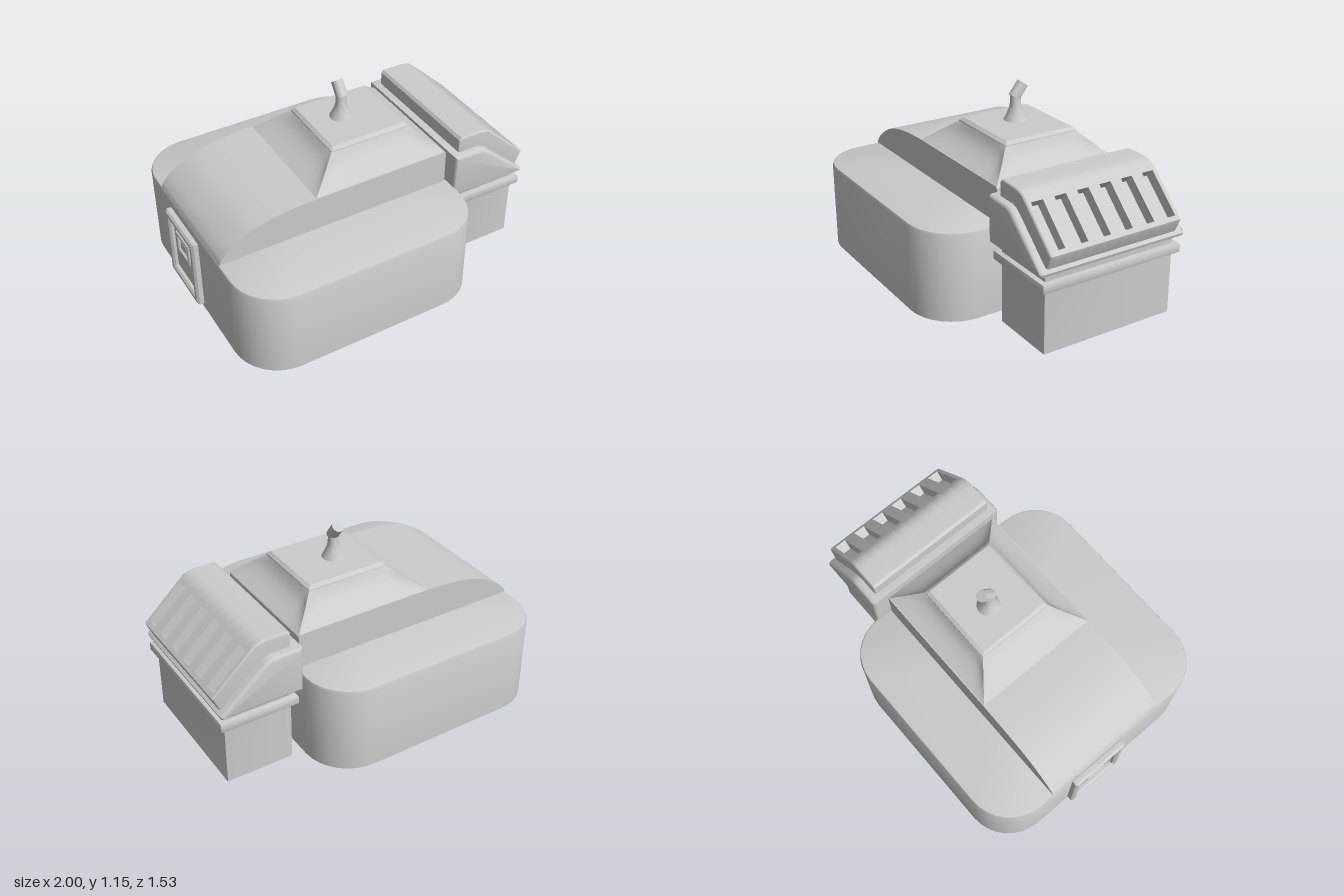
import * as THREE from 'three';
import { toCreasedNormals } from 'three/addons/utils/BufferGeometryUtils.js';

const grey = new THREE.MeshStandardMaterial({ color: 0xcccccc, side: THREE.DoubleSide });

function add(parent, name, geometry, crease = 0.6) {
  const mesh = new THREE.Mesh(toCreasedNormals(geometry, crease), grey);
  mesh.name = name;
  parent.add(mesh);
  return mesh;
}

const shapeOf = (pts) => new THREE.Shape(pts.map(([x, y]) => new THREE.Vector2(x, y)));

const rect = (x0, x1, y0, y1) => [[x0, y0], [x1, y0], [x1, y1], [x0, y1]];

// Side profile (x, y) extruded from z0 to z1, edges rounded by b inside the outline
function extrude(shape, z0, z1, b = 0, bevelSegments = 3) {
  const g = new THREE.ExtrudeGeometry(shape, {
    depth: z1 - z0 - 2 * b, bevelEnabled: b > 0, bevelSize: b,
    bevelThickness: b, bevelOffset: -b, bevelSegments,
  });
  return g.translate(0, 0, z0 + b);
}

// Skin through closed rings of equal length, from bottom to top
function loft(rings, cap = true) {
  const n = rings[0].length, v = [], idx = [];
  rings.forEach((r) => r.forEach((p) => v.push(...p)));
  for (let i = 0; i < rings.length - 1; i++) {
    for (let j = 0; j < n; j++) {
      const a = i * n + j, b = i * n + (j + 1) % n;
      idx.push(a, b, b + n, a, b + n, a + n);
    }
  }
  if (cap) {
    const top = rings[rings.length - 1], base = (rings.length - 1) * n;
    v.push(...[0, 1, 2].map((k) => top.reduce((s, p) => s + p[k], 0) / n));
    for (let j = 0; j < n; j++) idx.push(base + j, base + (j + 1) % n, rings.length * n);
  }
  const g = new THREE.BufferGeometry();
  g.setAttribute('position', new THREE.Float32BufferAttribute(v, 3));
  g.setIndex(idx);
  return g;
}

// Horizontal rounded rectangle, counter-clockwise from above
function roundRing(x0, x1, z0, z1, y, r, steps = 8) {
  const pts = [];
  [[x1 - r, z0 + r], [x0 + r, z0 + r], [x0 + r, z1 - r], [x1 - r, z1 - r]].forEach(([cx, cz], q) => {
    for (let i = 0; i <= steps; i++) {
      const a = (q + i / steps) * Math.PI / 2;
      pts.push([cx + r * Math.cos(a), y, cz - r * Math.sin(a)]);
    }
  });
  return pts;
}

// Horizontal rectangle whose sides are pushed inward by sag between the corners
function saggedRing(x0, x1, z0, z1, y, sag, n = 16) {
  const c = [[x0, z1], [x1, z1], [x1, z0], [x0, z0]];
  const inward = [[0, -1], [-1, 0], [0, 1], [1, 0]];
  const pts = [];
  for (let s = 0; s < 4; s++) {
    const p = c[s], q = c[(s + 1) % 4];
    for (let i = 0; i < n; i++) {
      const t = i / n, d = sag * (1 - Math.pow(Math.abs(2 * t - 1), 8));
      pts.push([p[0] + (q[0] - p[0]) * t + inward[s][0] * d, y, p[1] + (q[1] - p[1]) * t + inward[s][1] * d]);
    }
  }
  return pts;
}

function buildTank(root) {
  const ring = (inset, y) => roundRing(-0.96 + inset, 0.485 - inset, -0.765 + inset, 0.765 - inset, y, 0.27 - inset);
  add(root, 'tankShell', loft([ring(0, 0.025), ring(0, 0.53), ring(0.006, 0.545), ring(0.02, 0.55)]));

  // Raised saddle running across the tank
  const back = new THREE.SplineCurve([[-0.945, 0.57], [-0.89, 0.625], [-0.76, 0.7], [-0.58, 0.742], [-0.37, 0.755]]
    .map(([x, y]) => new THREE.Vector2(x, y))).getPoints(16).map((p) => [p.x, p.y]);
  const saddle = [[0.465, 0.54], [-0.955, 0.54], ...back, [0.455, 0.755], [0.465, 0.745]];
  add(root, 'saddle', extrude(shapeOf(saddle), -0.405, 0.365));

  // Dished pyramid and its flat top
  const rows = [];
  for (let i = 0; i <= 8; i++) {
    const t = i / 8, mix = THREE.MathUtils.lerp;
    rows.push(saggedRing(mix(-0.37, -0.19, t), mix(0.463, 0.31, t), mix(-0.403, -0.257, t),
      mix(0.363, 0.212, t), mix(0.753, 0.895, t), 0.028 * Math.sin(Math.PI * t)));
  }
  add(root, 'pyramid', loft(rows), 0.5);
  const top = (i, y) => roundRing(-0.19 + i, 0.31 - i, -0.257 + i, 0.212 - i, y, 0.006, 2);
  add(root, 'pyramidTop', loft([top(0, 0.893), top(0.002, 0.903), top(0.02, 0.92)]));
}

function buildSpout(root) {
  const spout = new THREE.Group();
  spout.name = 'spout';
  spout.position.set(0.018, 0.918, -0.04);
  const profile = [[0.068, 0], [0.052, 0.03], [0.04, 0.06], [0.032, 0.09], [0.03, 0.15], [0, 0.15]];
  add(spout, 'spoutStem', new THREE.LatheGeometry(profile.map(([r, y]) => new THREE.Vector2(r, y)), 24), 0.7);
  const tip = add(spout, 'spoutTip', new THREE.CylinderGeometry(0.034, 0.034, 0.095, 24));
  tip.position.set(0, 0.17, -0.018);
  tip.rotation.x = -0.65;
  root.add(spout);
}

// Framed door on the -x wall; shapes are drawn as (z, y) and turned outward
function buildDoor(root) {
  const door = new THREE.Group();
  door.name = 'door';
  door.position.x = -0.95;
  door.rotation.y = -Math.PI / 2;
  const frame = (name, x0, x1, y0, y1, w, z1, b) => {
    const s = shapeOf(rect(x0, x1, y0, y1));
    s.holes.push(new THREE.Path(rect(x0 + w, x1 - w, y0 + w, y1 - w).reverse().map(([x, y]) => new THREE.Vector2(x, y))));
    add(door, name, extrude(s, 0, z1, b, 1), 0.3);
  };
  const block = (name, x0, x1, y0, y1, z1) => add(door, name, extrude(shapeOf(rect(x0, x1, y0, y1)), 0, z1, 0.004, 1), 0.3);
  frame('doorFrame', -0.265, 0.105, 0.06, 0.5, 0.045, 0.05, 0.012);
  block('doorPanel', -0.23, 0.07, 0.1, 0.46, 0.022);
  frame('hatchFrame', -0.165, 0.005, 0.27, 0.41, 0.025, 0.038, 0.005);
  block('hatch', -0.12, -0.04, 0.31, 0.37, 0.032);
  block('doorLatch', 0.018, 0.035, 0.24, 0.33, 0.036);
  root.add(door);
}

function buildTower(root) {
  // Open-bottomed shaft with a collar
  const shaft = (y) => roundRing(0.54, 0.945, -0.44, 0.385, y, 0.006, 2);
  add(root, 'towerShaft', loft([shaft(0), shaft(0.47)], false));
  const collar = new THREE.Shape(rect(0.51, 0.975, -0.415, 0.47).map(([x, y]) => new THREE.Vector2(x, y)));
  add(root, 'towerCollar', extrude(collar, 0.367, 0.42, 0.007, 2).rotateX(-Math.PI / 2));

  // Rounded cover
  const cover = [[0.49, 0.465], [0.49, 0.74], [0.655, 0.74], [0.685, 0.733], [0.715, 0.715], [0.98, 0.482], [0.975, 0.465]];
  add(root, 'towerCover', extrude(shapeOf(cover), -0.495, 0.435, 0.022), 0.7);

  // Slotted hood: full slices alternate with notched slices
  const front = [[0.998, 0.57], [0.965, 0.498], [0.9, 0.5], [0.6, 0.6]];
  const rear = [[0.535, 0.6], [0.535, 0.82], [0.55, 0.835], [0.68, 0.835], [0.71, 0.831], [0.74, 0.82], [0.765, 0.8]];
  const notch = [[0.78, 0.786], [0.736, 0.739], [0.936, 0.552], [0.98, 0.599]];
  const full = shapeOf([...rear, [1, 0.58], ...front]);
  const slotted = shapeOf([...rear, ...notch, [1, 0.58], ...front]);
  const hood = new THREE.Group();
  hood.name = 'slottedHood';
  const pitch = 0.1415, half = 0.036;
  let z = -0.432;
  for (let i = 0; i < 6; i++) {
    const c = -0.381 + i * pitch;
    add(hood, 'hoodRib', extrude(full, z, c - half));
    add(hood, 'hoodSlot', extrude(slotted, c - half, c + half));
    z = c + half;
  }
  add(hood, 'hoodRib', extrude(full, z, 0.378));
  // Rounded ends, their inner halves buried in the outer ribs
  for (const e of [-0.432, 0.378]) add(hood, 'hoodEnd', extrude(full, e - 0.0125, e + 0.0125, 0.012), 0.7);
  root.add(hood);
}

export function createModel() {
  const root = new THREE.Group();
  root.name = 'tankWithTower';
  buildTank(root);
  buildSpout(root);
  buildDoor(root);
  buildTower(root);
  return root;
}
